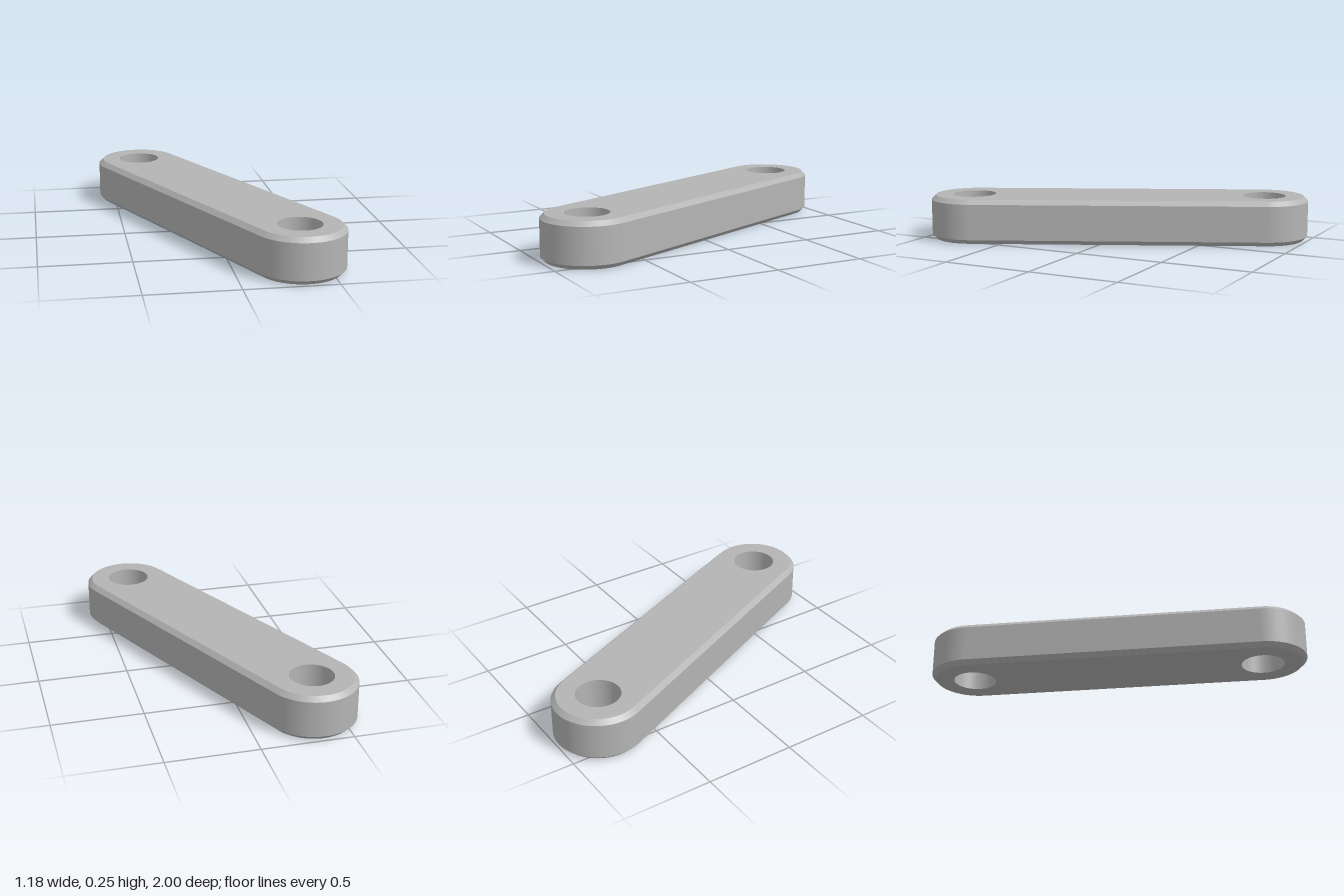
import * as THREE from 'three';

const RADIUS = 0.247, HALF = 0.827, HEIGHT = 0.25, CHAMFER = 0.025, HOLE = 0.12;
const ARC = 40, HOLE_SEGMENTS = 64;

// Outline of two half circles: outward direction and the centre of each arc
function outline() {
  const ring = [];
  for (const side of [1, -1]) {
    for (let i = 0; i <= ARC; i++) {
      const a = -Math.PI / 2 + (Math.PI * i) / ARC + (side < 0 ? Math.PI : 0);
      ring.push({ x: Math.sin(a), z: Math.cos(a), centre: side * HALF });
    }
  }
  return ring;
}

// Smooth band around the outline between two radii and heights
function band(ring, [r0, y0], [r1, y1]) {
  const positions = [], normals = [], index = [];
  const length = Math.hypot(y1 - y0, r0 - r1);
  const out = (y1 - y0) / length, up = (r0 - r1) / length;
  ring.forEach((p, i) => {
    positions.push(p.x * r0, y0, p.centre + p.z * r0, p.x * r1, y1, p.centre + p.z * r1);
    normals.push(p.x * out, up, p.z * out, p.x * out, up, p.z * out);
    const a = 2 * i, b = 2 * ((i + 1) % ring.length);
    index.push(a, b, a + 1, b + 1, a + 1, b);
  });
  const geometry = new THREE.BufferGeometry();
  geometry.setAttribute('position', new THREE.Float32BufferAttribute(positions, 3));
  geometry.setAttribute('normal', new THREE.Float32BufferAttribute(normals, 3));
  geometry.setIndex(index);
  return geometry;
}

// Flat face with the two pin holes cut out
function face(ring) {
  const r = RADIUS - CHAMFER;
  const shape = new THREE.Shape(ring.map(p => new THREE.Vector2(p.x * r, p.centre + p.z * r)));
  for (const z of [-HALF, HALF]) {
    const points = [];
    for (let i = 0; i < HOLE_SEGMENTS; i++) {
      const a = (2 * Math.PI * i) / HOLE_SEGMENTS;
      points.push(new THREE.Vector2(HOLE * Math.sin(a), z + HOLE * Math.cos(a)));
    }
    shape.holes.push(new THREE.Path(points));
  }
  return new THREE.ShapeGeometry(shape);
}

export function createModel() {
  const grey = new THREE.MeshStandardMaterial({ color: 0xb4b4b4 });
  grey.name = 'grey';
  const link = new THREE.Group();
  link.name = 'linkBar';
  const add = (name, geometry) => {
    const mesh = new THREE.Mesh(geometry, grey);
    mesh.name = name;
    link.add(mesh);
  };

  // Outer wall and its chamfers
  const ring = outline();
  const inner = RADIUS - CHAMFER;
  add('lowerChamfer', band(ring, [inner, 0], [RADIUS, CHAMFER]));
  add('sideWall', band(ring, [RADIUS, CHAMFER], [RADIUS, HEIGHT - CHAMFER]));
  add('upperChamfer', band(ring, [RADIUS, HEIGHT - CHAMFER], [inner, HEIGHT]));

  // Top and bottom faces
  add('topFace', face(ring).rotateX(-Math.PI / 2).translate(0, HEIGHT, 0));
  add('bottomFace', face(ring).rotateX(Math.PI / 2));

  // Hole walls: the profile runs downward so they face inward
  const profile = [new THREE.Vector2(HOLE, HEIGHT), new THREE.Vector2(HOLE, 0)];
  for (const [name, z] of [['frontHole', HALF], ['backHole', -HALF]]) {
    add(name, new THREE.LatheGeometry(profile, HOLE_SEGMENTS).translate(0, 0, z));
  }

  // The bar lies diagonally
  link.rotation.y = Math.atan2(0.343, 0.753);
  const model = new THREE.Group();
  model.name = 'link';
  model.add(link);
  return model;
}
